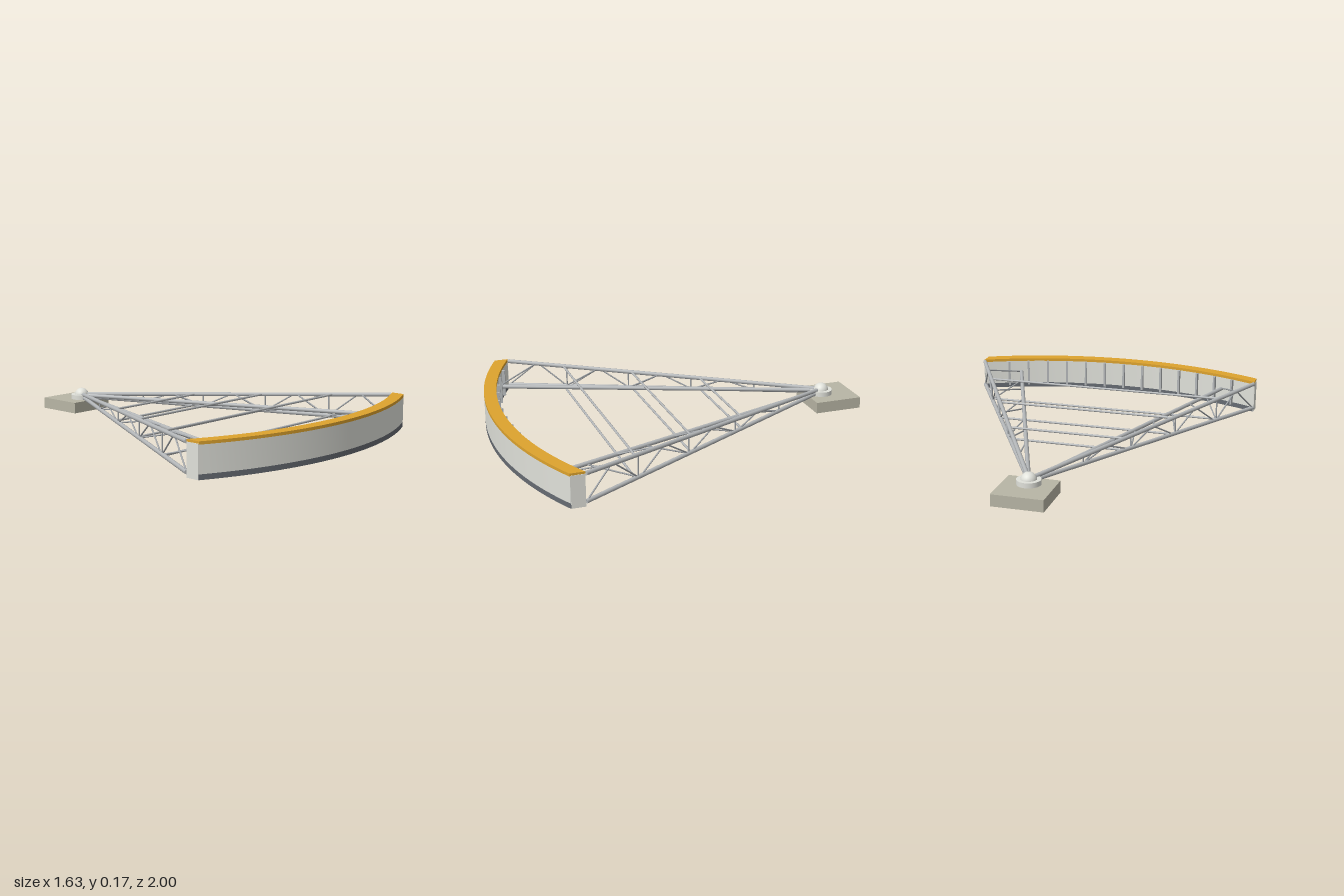
import * as THREE from 'three';
import { toCreasedNormals } from 'three/addons/utils/BufferGeometryUtils.js';

const PIVOT_Z = -0.825, OUTER_R = 1.825, INNER_R = 1.76, HALF = 0.808;
const UP = new THREE.Vector3(0, 1, 0);
const V = (x, y, z) => new THREE.Vector3(x, y, z);
const arcZ = (r, x) => PIVOT_Z + Math.sqrt(r * r - x * x);

export function createModel() {
  const mat = (name, color) => {
    const m = new THREE.MeshStandardMaterial({ color });
    m.name = name;
    return m;
  };
  const panel = mat('panelGrey', 0xe0e1da);
  const yellow = mat('walkwayYellow', 0xdda32e);
  const dark = mat('keelDark', 0x666b72);
  const steel = mat('tubeSteel', 0xb4b7b9);
  const brace = mat('braceSteel', 0xa0a4a8);
  const concrete = mat('concrete', 0xb8b5a5);

  const model = new THREE.Group();
  model.name = 'sectorGate';

  const add = (parent, name, geometry, material, pos = [0, 0, 0]) => {
    const m = new THREE.Mesh(geometry, material);
    m.name = name;
    m.position.set(...pos);
    parent.add(m);
    return m;
  };
  const tube = (parent, name, a, b, r, material) => {
    const d = b.clone().sub(a);
    const m = add(parent, name, new THREE.CylinderGeometry(r, r, d.length(), 10), material);
    m.position.copy(a).add(b).multiplyScalar(0.5);
    m.quaternion.setFromUnitVectors(UP, d.normalize());
  };

  // Curved gate wall, in three stacked layers
  const N = 40;
  const shape = new THREE.Shape();
  for (let i = 0; i <= N; i++) {
    const x = -HALF + (2 * HALF * i) / N;
    if (i === 0) shape.moveTo(x, -arcZ(OUTER_R, x));
    else shape.lineTo(x, -arcZ(OUTER_R, x));
  }
  for (let i = N; i >= 0; i--) {
    const x = -HALF + (2 * HALF * i) / N;
    shape.lineTo(x, -arcZ(INNER_R, x));
  }
  const layer = (name, y0, y1, material) => {
    const g = new THREE.ExtrudeGeometry(shape, { depth: y1 - y0, bevelEnabled: false });
    g.rotateX(-Math.PI / 2);
    add(model, name, toCreasedNormals(g, 0.4), material, [0, y0, 0]);
  };
  layer('keel', 0, 0.026, dark);
  layer('gateWall', 0.026, 0.16, panel);
  layer('walkway', 0.16, 0.175, yellow);

  // Stiffening ribs on the inner face
  const ribs = new THREE.Group();
  ribs.name = 'ribs';
  model.add(ribs);
  for (let i = -6; i <= 6; i++) {
    const a = i * 0.0655, r = INNER_R - 0.005;
    const rib = add(ribs, 'rib', new THREE.BoxGeometry(0.012, 0.145, 0.022), steel,
      [r * Math.sin(a), 0.088, PIVOT_Z + r * Math.cos(a)]);
    rib.rotation.y = a;
  }

  // Triangular truss arms and end plates, mirrored
  for (const s of [1, -1]) {
    const arm = new THREE.Group();
    arm.name = s > 0 ? 'leftArm' : 'rightArm';
    model.add(arm);
    add(arm, 'endPlate', new THREE.BoxGeometry(0.006, 0.164, 0.07), panel, [s * 0.807, 0.082, 0.774]);

    const chord = (a, b) => (t) => a.clone().lerp(b, t);
    const top = chord(V(0, 0.085, PIVOT_Z), V(s * 0.804, 0.164, 0.735));
    const low = chord(V(0, 0.072, PIVOT_Z), V(s * 0.804, 0.024, 0.735));
    const inner = chord(V(0, 0.078, PIVOT_Z), V(s * 0.61, 0.093, 0.835));
    for (const [name, c] of [['upperChord', top], ['lowerChord', low], ['innerChord', inner]])
      tube(arm, name, c(0.02), c(1), 0.011, steel);

    for (let i = 2; i < 10; i++) {
      const t = i / 10 + 0.01, u = Math.min(1, t + 0.09);
      const [p, q] = i % 2 ? [top, low] : [low, top];
      tube(arm, 'innerBrace', p(t), inner(u), 0.004, brace);
      tube(arm, 'sideDiagonal', p(t), q(u), 0.004, brace);
      if (i % 2 === 0) tube(arm, 'sidePost', low(t), top(t), 0.004, brace);
    }
  }

  // Cross ties between the two arms, at upper and lower chord height
  for (const t of [0.382, 0.6, 0.821]) {
    const x = 0.804 * t, z = PIVOT_Z + 1.56 * t;
    for (const y of [0.085 + 0.079 * t, 0.072 - 0.048 * t])
      tube(model, 'crossTie', V(-x, y, z), V(x, y, z), 0.006, steel);
  }

  // Foundation block with ball joint
  add(model, 'foundation', new THREE.BoxGeometry(0.26, 0.06, 0.258), concrete, [0, 0.03, -0.871]);
  add(model, 'socket', new THREE.CylinderGeometry(0.06, 0.06, 0.025, 32), panel, [0, 0.0725, PIVOT_Z]);
  add(model, 'ballJoint', new THREE.SphereGeometry(0.04, 24, 16), panel, [0, 0.08, PIVOT_Z]);

  return model;
}
